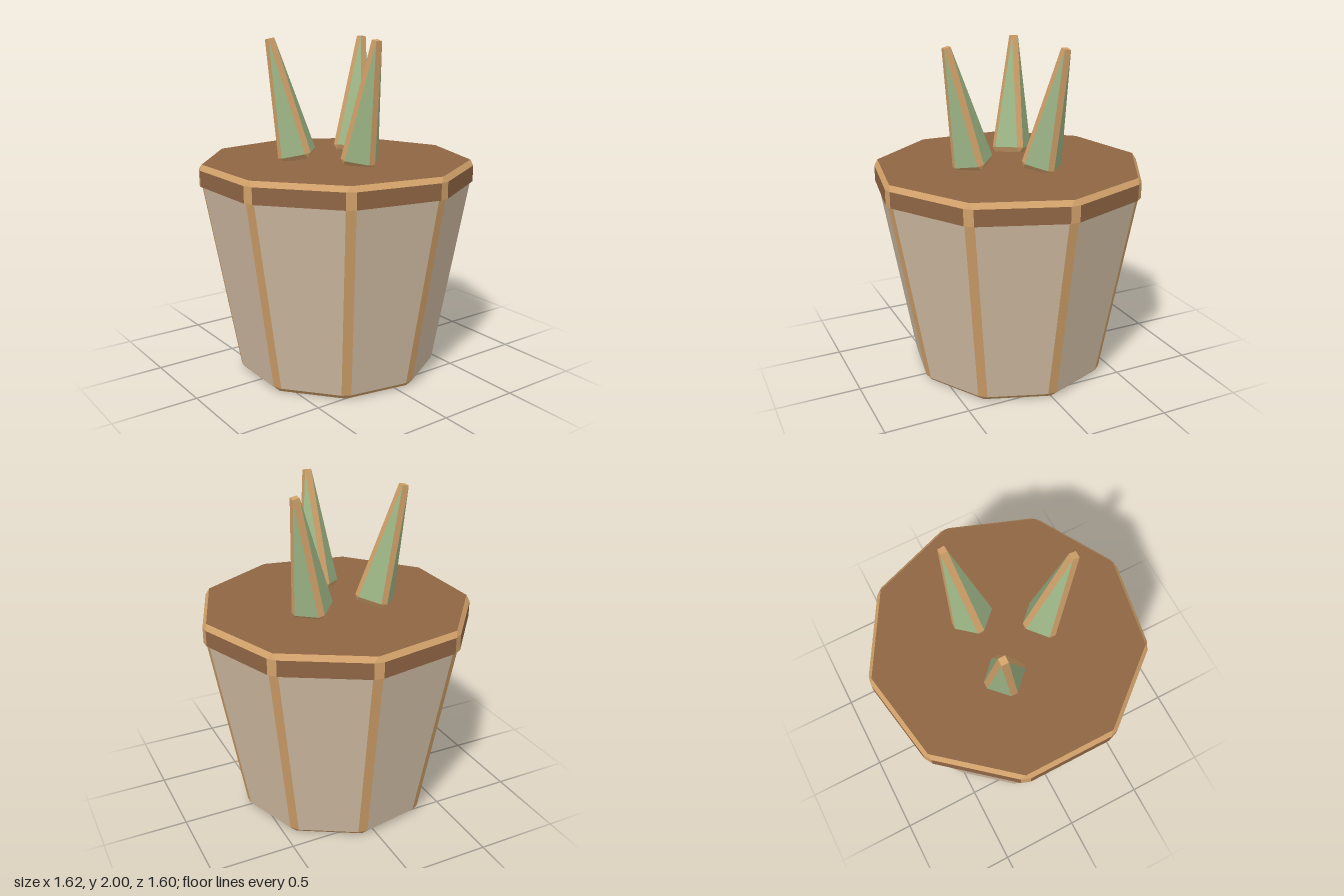
import * as THREE from 'three';

const material = (name, color) => {
  const m = new THREE.MeshStandardMaterial({ color });
  m.name = name;
  return m;
};

// Polygon ring at height y, its corners cut back by d along both edges; first corner faces -z
function ring(sides, radius, d, y) {
  const corner = (k) => {
    const a = (k / sides) * Math.PI * 2;
    return new THREE.Vector3(Math.sin(a) * radius, y, -Math.cos(a) * radius);
  };
  const points = [];
  for (let k = 0; k < sides; k++) {
    for (const step of [-1, 1]) {
      const dir = corner(k + step).sub(corner(k)).normalize();
      points.push(corner(k).addScaledVector(dir, d));
    }
  }
  return points;
}

// Faceted solid through the rings. bands[b] = [corner strip, panel] material index;
// caps = [bottom, top] material index
function loft(name, rings, bands, caps, materials) {
  const buckets = materials.map(() => []);
  const tri = (m, ...pts) => pts.forEach((p) => buckets[m].push(p.x, p.y, p.z));
  const n = rings[0].length;
  for (let b = 0; b < rings.length - 1; b++) {
    const lo = rings[b], hi = rings[b + 1];
    for (let i = 0; i < n; i++) {
      const j = (i + 1) % n, m = bands[b][i % 2];
      tri(m, lo[i], hi[i], hi[j]);
      tri(m, lo[i], hi[j], lo[j]);
    }
  }
  const bottom = rings[0], top = rings[rings.length - 1];
  const cb = new THREE.Vector3(0, bottom[0].y, 0), ct = new THREE.Vector3(0, top[0].y, 0);
  for (let i = 0; i < n; i++) {
    const j = (i + 1) % n;
    tri(caps[0], cb, bottom[i], bottom[j]);
    tri(caps[1], ct, top[j], top[i]);
  }
  const geo = new THREE.BufferGeometry();
  geo.setAttribute('position', new THREE.Float32BufferAttribute(buckets.flat(), 3));
  let start = 0;
  buckets.forEach((b, m) => {
    geo.addGroup(start, b.length / 3, m);
    start += b.length / 3;
  });
  geo.computeVertexNormals();
  const mesh = new THREE.Mesh(geo, materials);
  mesh.name = name;
  return mesh;
}

export function createModel() {
  const clay = material('pale clay', 0xcfbba2);
  const edge = material('tan edge', 0xd0a069);
  const soil = material('brown', 0x8f6544);
  const green = material('leaf green', 0x9db586);

  const model = new THREE.Group();
  model.name = 'pottedPlant';
  const plant = new THREE.Group();
  plant.position.z = 0.02;
  model.add(plant);

  // Tapered nine-sided pot with bevelled edges
  plant.add(loft('pot', [
    ring(9, 0.58, 0, 0),
    ring(9, 0.612, 0.03, 0.03),
    ring(9, 0.816, 0.03, 1.18),
  ], [[1, 1], [1, 0]], [0, 0], [clay, edge]));

  // Rim with bevelled top edge, filled with soil
  plant.add(loft('rimAndSoil', [
    ring(9, 0.828, 0.03, 1.165),
    ring(9, 0.828, 0.03, 1.26),
    ring(9, 0.804, 0, 1.29),
  ], [[1, 0], [1, 1]], [1, 0], [soil, edge]));

  // Three four-sided leaves leaning outwards
  const up = new THREE.Vector3(0, 1, 0);
  const tilt = 0.219;
  for (let i = 0; i < 3; i++) {
    const a = (i / 3) * Math.PI * 2;
    const leaf = loft('leafSpike' + (i + 1), [
      ring(4, 0.112, 0, 0),
      ring(4, 0.142, 0.0283, 0.03),
      ring(4, 0.04, 0.0283, 0.718),
    ], [[1, 1], [1, 0]], [0, 1], [green, edge]);
    leaf.position.set(Math.cos(a) * 0.229, 1.296, Math.sin(a) * 0.229);
    leaf.quaternion.setFromUnitVectors(up, new THREE.Vector3(
      Math.sin(tilt) * Math.cos(a), Math.cos(tilt), Math.sin(tilt) * Math.sin(a)));
    plant.add(leaf);
  }
  return model;
}
